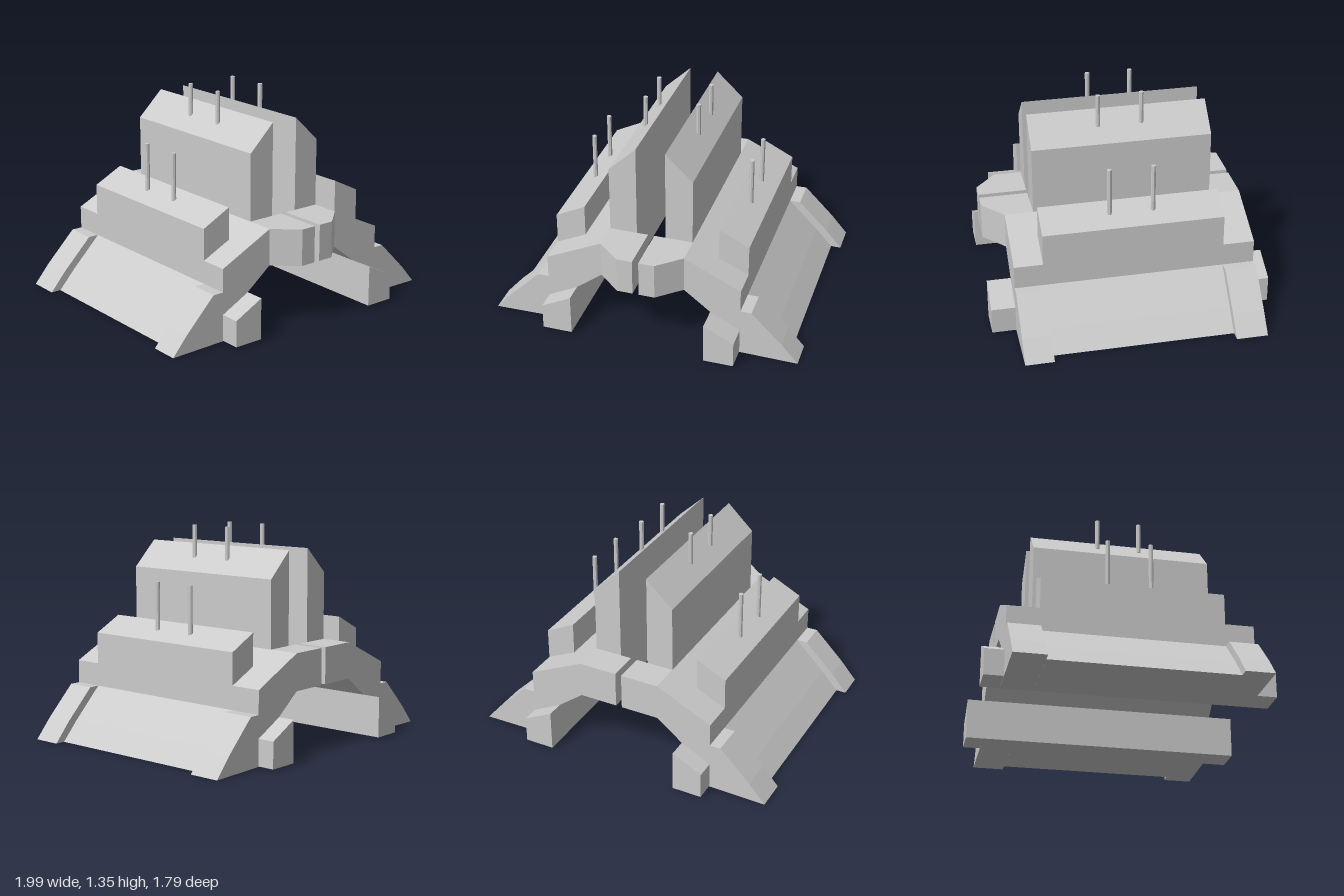
import * as THREE from 'three';

const material = new THREE.MeshStandardMaterial({ color: 0xcccccc, flatShading: true });
const CENTRE = 0.005; // mirror plane of the two halves
const FRONT = 0.56, BACK = -0.58; // ends of the long middle body
const RIB_FRONT = 0.74, RIB_BACK = -0.78;

function addMesh(group, name, geometry) {
  const mesh = new THREE.Mesh(geometry, material);
  mesh.name = name;
  group.add(mesh);
  return mesh;
}

// One half; side is +1 or -1 along x
function createHalf(side) {
  const half = new THREE.Group();
  half.name = side > 0 ? 'leftHalf' : 'rightHalf';
  const toX = (x) => side * x + CENTRE;
  const outline = (points) =>
    new THREE.Shape(points.map(([x, y]) => new THREE.Vector2(toX(x), y)));

  // Extrudes an x/y section from z0 to z1
  const section = (name, points, z0, z1) => {
    const geometry = new THREE.ExtrudeGeometry(outline(points), { depth: z1 - z0, bevelEnabled: false });
    addMesh(half, name, geometry.translate(0, 0, z0));
  };

  // Underside shared by ribs and body, from the inner end outward
  const underside = [[0.267, 0.405], [0.435, 0.275], [0.435, 0.012]];

  // Long middle body
  section('body', [
    [0.093, 0.405], ...underside,
    [0.93, 0.004], [0.82, 0.125], [0.625, 0.32], [0.625, 0.467],
    [0.267, 0.637], [0.093, 0.637],
  ], BACK, FRONT);

  // Raised ledge and tall inner wall with sloping tops
  section('ledge', [[0.625, 0.467], [0.625, 0.667], [0.435, 0.762], [0.435, 0.557]], BACK, FRONT);
  section('tallWall', [[0.267, 0.637], [0.267, 1.065], [0.093, 1.23], [0.093, 0.637]], BACK, FRONT);

  // End ribs, reaching further inward and outward than the body
  const rib = [
    [0.02, 0.405], ...underside,
    [0.995, 0.004], [0.89, 0.125], [0.695, 0.32], [0.625, 0.32], [0.625, 0.467],
    [0.267, 0.637], [0.02, 0.637],
  ];
  section('frontRib', rib, FRONT, RIB_FRONT);
  section('backRib', rib, RIB_BACK, BACK);

  // Foot blocks projecting from both ends
  const foot = [[0.435, 0.012], [0.435, 0.275], [0.625, 0.178], [0.625, 0.012]];
  section('frontFoot', foot, RIB_FRONT, side > 0 ? 0.89 : 0.865);
  section('backFoot', foot, side > 0 ? -0.89 : -0.9, RIB_BACK);

  // Chamfered nose at the front, drawn in plan and extruded upward
  const nose = new THREE.ExtrudeGeometry(
    outline([[0.02, -RIB_FRONT], [0.267, -RIB_FRONT], [0.12, -0.87], [0.02, -0.87]]),
    { depth: 0.232, bevelEnabled: false });
  addMesh(half, 'nose', nose.rotateX(-Math.PI / 2).translate(0, 0.405, 0));

  // Upright pins on the ledge and the tall wall
  for (const [name, x, y0, y1] of [['wallPin', 0.172, 1.145, 1.355], ['ledgePin', 0.52, 0.71, 1.02]]) {
    for (const z of [-0.15, 0.125]) {
      const pin = addMesh(half, name, new THREE.CylinderGeometry(0.015, 0.015, y1 - y0, 8));
      pin.position.set(toX(x), (y0 + y1) / 2, z);
    }
  }
  return half;
}

export function createModel() {
  const model = new THREE.Group();
  model.name = 'model';
  model.add(createHalf(1), createHalf(-1));
  return model;
}
